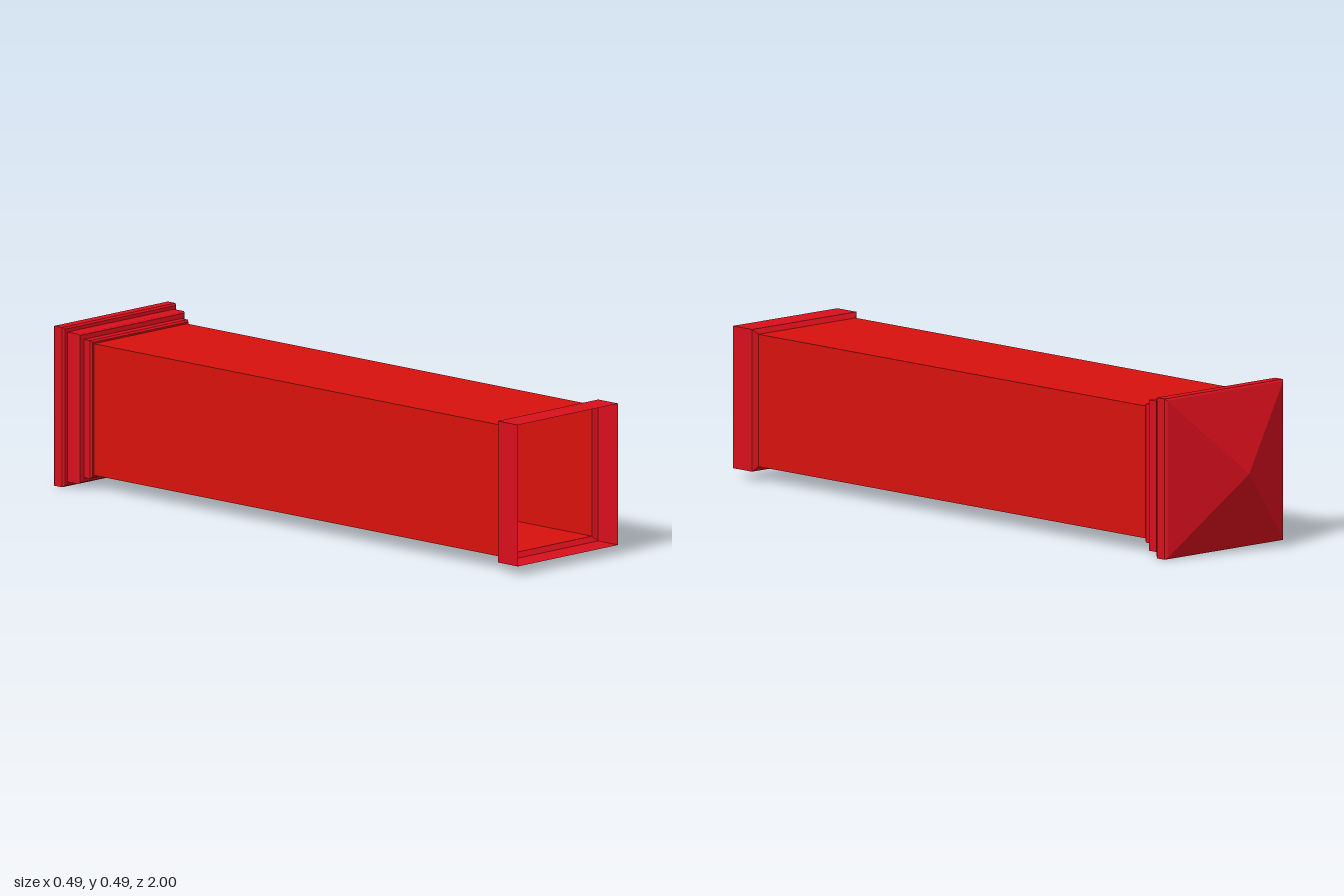
import * as THREE from 'three';

const CENTER_Y = 0.243;
const makeMaterial = (color) =>
  new THREE.MeshStandardMaterial({ color, flatShading: true, side: THREE.DoubleSide });

// Square sleeve along z, swept from [half width, z] pairs running back to front
function squareSleeve(name, profile, material) {
  const points = profile.map(([half, z]) => new THREE.Vector2(half * Math.SQRT2, z));
  const geometry = new THREE.LatheGeometry(points, 4)
    .rotateY(Math.PI / 4)
    .rotateX(Math.PI / 2);
  const mesh = new THREE.Mesh(geometry, material);
  mesh.name = name;
  return mesh;
}

export function createModel() {
  const model = new THREE.Group();
  model.name = 'hollowPost';
  const postRed = makeMaterial(0xd8110d);
  const trimRed = makeMaterial(0xd80f1c);

  // Long open shaft
  model.add(squareSleeve('shaft', [[0.2, -0.77], [0.2, 0.905]], postRed));

  // Wider foot sleeve, open at the front
  model.add(squareSleeve('foot', [[0.2, 0.905], [0.215, 0.917], [0.215, 1]], trimRed));

  // Stepped mouldings under the cap
  model.add(squareSleeve('lowerMoulding', [
    [0.21, -0.8], [0.21, -0.775], [0.205, -0.768], [0.2, -0.768],
  ], trimRed));
  model.add(squareSleeve('middleMoulding', [
    [0.228, -0.85], [0.228, -0.808], [0.224, -0.802], [0.21, -0.8],
  ], trimRed));
  model.add(squareSleeve('capRim', [
    [0.238, -0.897], [0.243, -0.89], [0.243, -0.858], [0.238, -0.851], [0.228, -0.85],
  ], trimRed));

  // Pyramid cap, hollow inside
  const roof = new THREE.ConeGeometry(0.238 * Math.SQRT2, 0.103, 4, 1, true)
    .rotateY(Math.PI / 4)
    .rotateX(-Math.PI / 2);
  const cap = new THREE.Mesh(roof, trimRed);
  cap.name = 'pyramidCap';
  cap.position.z = -0.9485;
  model.add(cap);

  for (const part of model.children) part.position.y = CENTER_Y;
  return model;
}
